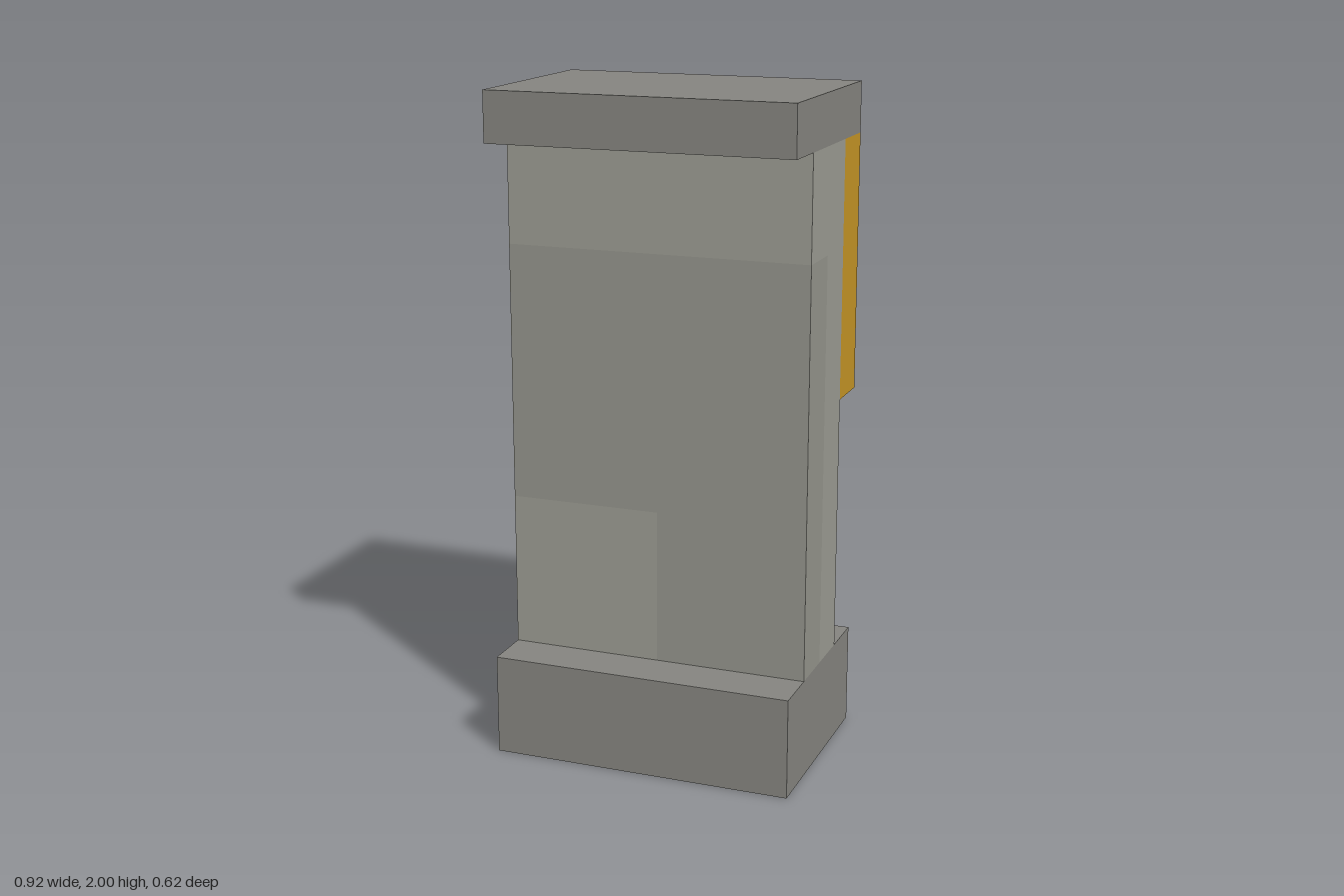
import * as THREE from 'three';

const material = (color) => new THREE.MeshStandardMaterial({ color });

export function createModel() {
  const model = new THREE.Group();
  model.name = 'signPillar';

  const stone = material(0x85847f);
  const light = material(0x9b9b92);
  const dark = material(0x93938b);
  const gold = material(0xc39325);
  const navy = material(0x24305a);

  // Box given by its [min, max] range on each axis
  function block(name, x, y, z, mat, parent = model) {
    const size = [x, y, z].map(([a, b]) => b - a);
    const mesh = new THREE.Mesh(new THREE.BoxGeometry(...size), mat);
    mesh.position.set(...[x, y, z].map(([a, b]) => (a + b) / 2));
    mesh.name = name;
    parent.add(mesh);
  }

  const width = [-0.46, 0.46];
  const depth = [-0.305, 0.31];

  // Base and cap slabs
  block('base', width, [0, 0.305], depth, stone);
  block('cap', width, [1.85, 2], depth, stone);

  // Column laid from two tones of stone: four blocks per course
  const column = new THREE.Group();
  column.name = 'column';
  model.add(column);
  const xs = [-0.46, 0, 0.46];
  const zs = [-0.15, 0.005, 0.16];
  // Tones in order: back -x, back +x, front -x, front +x
  const courses = [
    { y: [0.305, 0.77], tones: [light, light, light, dark] },
    { y: [0.77, 1.54], tones: [dark, light, dark, dark] },
    { y: [1.54, 1.85], tones: [dark, light, light, light] },
  ];
  for (const { y, tones } of courses) {
    tones.forEach((tone, i) => {
      const ix = i % 2;
      const iz = Math.floor(i / 2);
      block('columnBlock', [xs[ix], xs[ix + 1]], y, [zs[iz], zs[iz + 1]], tone, column);
    });
  }

  // Display housing on the back with its thin panel
  block('displayHousing', width, [1.08, 1.85], [-0.305, -0.15], gold);
  block('displayPanel', [-0.385, 0.385], [1.23, 1.77], [-0.312, -0.3], navy);

  return model;
}
